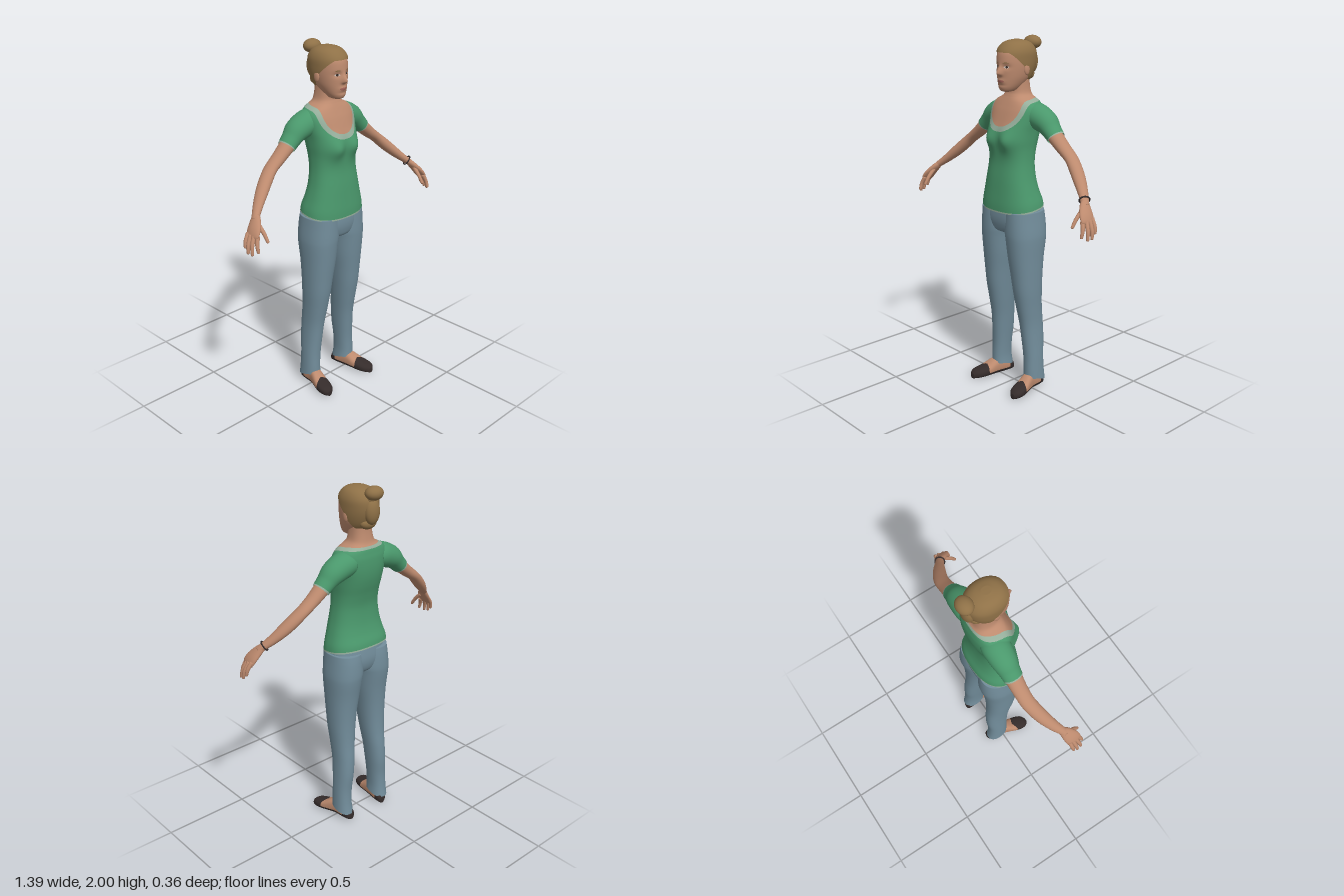
import * as THREE from 'three';

const mat = (name, color) => Object.assign(new THREE.MeshStandardMaterial({ color, side: THREE.DoubleSide }), { name });
const V = (x, y, z) => new THREE.Vector3(x, y, z);
const { clamp, lerp, smoothstep } = THREE.MathUtils;
const gauss = (d, s) => Math.exp(-(d * d) / (s * s));
const power = (c, e) => Math.sign(c) * Math.abs(c) ** e;

// Smoothly resample a table of section rows
function resample(rows, n) {
  return Array.from({ length: n + 1 }, (_, k) => {
    const t = (k / n) * (rows.length - 1), i = Math.min(Math.floor(t), rows.length - 2), u = t - i;
    const [p0, p1, p2, p3] = [i - 1, i, i + 1, i + 2].map(j => rows[clamp(j, 0, rows.length - 1)]);
    return p1.map((b, c) => {
      const m1 = (p2[c] - p0[c]) / 2, m2 = (p3[c] - b) / 2, d = p2[c] - b;
      return b + u * (m1 + u * (3 * d - 2 * m1 - m2 + u * (m1 + m2 - 2 * d)));
    });
  });
}

// Skin a list of rings, optionally closing the ends with a ring shrunk to a point
function loft(rings, capStart = true, capEnd = true) {
  const seg = rings[0].length, index = [];
  const shrink = r => Array(seg).fill(r.reduce((s, p) => s.add(p), V(0, 0, 0)).divideScalar(seg));
  const all = [...(capStart ? [shrink(rings[0])] : []), ...rings, ...(capEnd ? [shrink(rings.at(-1))] : [])];
  for (let i = 0; i < all.length - 1; i++) for (let j = 0; j < seg; j++) {
    const a = i * seg + j, b = i * seg + (j + 1) % seg;
    index.push(a, a + seg, b, b, a + seg, b + seg);
  }
  const g = new THREE.BufferGeometry().setFromPoints(all.flat()).setIndex(index);
  g.computeVertexNormals();
  return g.toNonIndexed();
}

const ring = (seg, f) => Array.from({ length: seg }, (_, j) => {
  const a = (j / seg) * Math.PI * 2;
  return f(Math.cos(a), Math.sin(a));
});

// Upright body: rows are [y, xMin, xMax, zBack, zFront]
function body(rows, n, seg, e, warp = p => p, caps = [true, true]) {
  return loft(resample(rows, n).map(([y, x0, x1, zb, zf]) => ring(seg, (c, s) => warp(V(
    (x0 + x1) / 2 + power(c, e) * (x1 - x0) / 2, y, (zb + zf) / 2 + power(s, e) * (zf - zb) / 2)))), ...caps);
}
const wide = rows => rows.map(([y, w, zb, zf]) => [y, -w, w, zb, zf]);

// Limb along a path: rows are [x, y, z, thickness radius, width radius]
function limb(rows, n, seg, capStart = true, capEnd = true) {
  const r = resample(rows, n), at = i => V(...r[clamp(i, 0, n)]);
  return loft(r.map((q, i) => {
    const T = at(i + 1).sub(at(i - 1)).normalize(), B = V(0, 0, 1);
    B.addScaledVector(T, -B.dot(T)).normalize();
    const A = T.clone().cross(B);
    return ring(seg, (c, s) => at(i).addScaledVector(A, c * q[3]).addScaledVector(B, s * q[4]));
  }), capStart, capEnd);
}

// Split a surface along f(position) = 0; returns [f >= 0, f < 0]
function cut(g, f) {
  const { position: P, normal: N } = g.attributes;
  return [1, -1].map(sign => {
    const pos = [], nor = [];
    for (let t = 0; t < P.count; t += 3) {
      const poly = [], v = [t, t + 1, t + 2].map(k => {
        const p = V().fromBufferAttribute(P, k);
        return { p, n: V().fromBufferAttribute(N, k), d: f(p) * sign };
      });
      v.forEach((a, k) => {
        const b = v[(k + 1) % 3], u = a.d / (a.d - b.d);
        if (a.d >= 0) poly.push(a);
        if (a.d >= 0 !== b.d >= 0) poly.push({ p: a.p.clone().lerp(b.p, u), n: a.n.clone().lerp(b.n, u).normalize() });
      });
      for (let k = 1; k < poly.length - 1; k++) for (const w of [poly[0], poly[k], poly[k + 1]]) {
        pos.push(...w.p);
        nor.push(...w.n);
      }
    }
    return new THREE.BufferGeometry().setAttribute('position', new THREE.Float32BufferAttribute(pos, 3))
      .setAttribute('normal', new THREE.Float32BufferAttribute(nor, 3));
  });
}

// Copy to the other side of the body, keeping faces outward
function mirror(g) {
  const m = g.index ? g.toNonIndexed() : g.clone();
  m.scale(-1, 1, 1);
  for (const a of [m.attributes.position, m.attributes.normal]) for (let t = 0; t < a.count; t += 3) {
    const b = V().fromBufferAttribute(a, t + 1), c = V().fromBufferAttribute(a, t + 2);
    a.setXYZ(t + 1, ...c).setXYZ(t + 2, ...b);
  }
  return m;
}

export function createModel() {
  const model = new THREE.Group();
  model.name = 'woman';
  const skin = mat('skin', 0xbd8a6e), hair = mat('hair', 0x8f7147), shirt = mat('green shirt', 0x4a986c),
    trim = mat('pale trim', 0x95ae9b), denim = mat('denim', 0x728d9b), leather = mat('dark leather', 0x352c2b),
    eyeWhite = mat('eye white', 0xcfc6bf), iris = mat('iris', 0x3a2c26), lip = mat('lips', 0xa5655a);
  const add = (name, g, m) => model.add(Object.assign(new THREE.Mesh(g, m), { name }));
  const pair = (name, g, m) => { add('left ' + name, g, m); add('right ' + name, mirror(g), m); };
  const ball = (x, y, z, a, b, c) => new THREE.SphereGeometry(1, 28, 20).scale(a, b, c).translate(x, y, z);

  // Torso and neck, divided into skin, neck trim, shirt and hem
  const torso = body(wide([
    [1.08, .19, -.12, .138], [1.12, .184, -.114, .137], [1.18, .167, -.096, .131], [1.25, .15, -.083, .124],
    [1.33, .138, -.08, .115], [1.4, .136, -.093, .116], [1.46, .141, -.11, .121], [1.51, .146, -.121, .116],
    [1.56, .155, -.126, .099], [1.61, .16, -.125, .08], [1.64, .152, -.12, .066], [1.662, .13, -.115, .055],
    [1.677, .1, -.108, .047], [1.69, .078, -.1, .04], [1.71, .066, -.094, .032], [1.75, .06, -.088, .03],
    [1.8, .058, -.085, .028]]), 80, 80, .82, p => {
    if (p.z > 0) p.z += .026 * gauss(Math.abs(p.x) - .066, .048) * gauss(p.y - 1.455, .055) * Math.min(1, p.z / .05);
    p.y -= .15 * p.z * clamp((1.22 - p.y) / .14, 0, 1);
    return p;
  }, [false, true]);
  const neckline = p => lerp((1.678 - p.y) / .06,
    Math.hypot(p.x / .108, Math.min(0, p.y - 1.64) / .11) - 1, smoothstep(p.z, -.07, -.01));
  const [clothed, bare] = cut(torso, neckline);
  const [top, collar] = cut(clothed, p => neckline(p) - .24);
  const [shirtBody, hem] = cut(top, p => p.y + .15 * p.z - 1.088);
  add('neck and chest', bare, skin);
  add('neck trim', collar, trim);
  add('shirt body', shirtBody, shirt);
  add('shirt hem', hem, trim);

  // Sleeves, arms and bracelet
  const sleeve = limb([[.09, 1.588, -.045, .064, .07], [.13, 1.588, -.045, .07, .075], [.2, 1.56, -.046, .064, .068],
    [.245, 1.522, -.044, .05, .057], [.282, 1.487, -.042, .044, .052]], 24, 32, true, false);
  const [cuff, sleeveMain] = cut(sleeve, p => (p.x - .282) * .72 - (p.y - 1.487) * .69 + .008);
  pair('sleeve', sleeveMain, shirt);
  pair('sleeve cuff', cuff, trim);
  pair('arm', limb([[.22, 1.542, -.044, .04, .048], [.285, 1.485, -.042, .038, .046], [.34, 1.44, -.04, .033, .042],
    [.4, 1.396, -.035, .029, .04], [.45, 1.35, -.018, .031, .039], [.5, 1.303, .006, .029, .036],
    [.55, 1.257, .035, .023, .029], [.59, 1.222, .063, .018, .023], [.605, 1.205, .074, .017, .025]], 36, 24), skin);
  add('bracelet', new THREE.TorusGeometry(.027, .004, 8, 28).applyQuaternion(new THREE.Quaternion()
    .setFromUnitVectors(V(0, 0, 1), V(.66, -.58, .47).normalize())).translate(.582, 1.229, .057), leather);

  // Hands
  pair('palm', limb([[.59, 1.222, .063, .017, .022], [.61, 1.197, .08, .018, .034], [.635, 1.165, .097, .017, .043],
    [.652, 1.138, .108, .013, .042], [.658, 1.127, .112, .006, .034]], 16, 24), skin);
  [['little finger', [.653, 1.15, .075], [.676, 1.115, .08], [.684, 1.082, .085]],
    ['ring finger', [.655, 1.145, .096], [.68, 1.1, .104], [.687, 1.06, .11]],
    ['middle finger', [.652, 1.14, .116], [.675, 1.098, .128], [.682, 1.056, .136]],
    ['index finger', [.642, 1.142, .134], [.658, 1.104, .147], [.66, 1.068, .158]],
    ['thumb', [.606, 1.19, .093], [.603, 1.15, .135], [.602, 1.11, .163]]].forEach(([name, a, b, c]) =>
    pair(name, limb([[...a, .012, .012], [...b, .0105, .0105], [...c, .008, .008],
      [...c.map((v, i) => v + (v - b[i]) * .1), .003, .003]], 14, 12), skin));

  // Jeans
  pair('trouser leg', body([[.07, .087, .188, -.1, .036], [.12, .09, .186, -.09, .035], [.2, .085, .183, -.088, .035],
    [.3, .075, .178, -.096, .042], [.4, .065, .175, -.094, .052], [.5, .053, .178, -.086, .07],
    [.6, .042, .184, -.084, .088], [.7, .03, .188, -.088, .1], [.8, .015, .192, -.098, .112],
    [.9, .003, .197, -.114, .122], [.95, -.004, .196, -.118, .125], [1.02, -.002, .189, -.115, .125],
    [1.07, 0, .184, -.108, .124]], 60, 36, .9, p => {
    p.y += .3 * Math.min(0, p.z) * clamp((.13 - p.y) / .06, 0, 1);
    return p;
  }, [false, true]), denim);
  add('trouser hips', body(wide([[.925, .03, -.05, .06], [.945, .1, -.085, .105], [.98, .165, -.102, .12],
    [1.03, .182, -.108, .126], [1.1, .172, -.1, .122]]), 20, 48, .85), denim);

  // Feet with slip-on shoes: rows are [z, centre x, half width, height]
  const foot = loft(resample([[-.1, .125, .012, .03], [-.09, .128, .028, .055], [-.05, .132, .036, .08],
    [0, .138, .036, .1], [.04, .147, .04, .09], [.08, .157, .045, .068], [.12, .166, .046, .056],
    [.155, .172, .036, .046], [.175, .175, .014, .03]], 44).map(([z, cx, w, h]) =>
    ring(36, (c, s) => V(cx + w * power(c, .8), h / 2 - h / 2 * power(s, .8), z))));
  const [shoe, instep] = cut(foot, p => Math.max(p.z - .075 - .4 * Math.abs(p.x - .157), .026 - p.y,
    Math.min(-.06 - p.z, .055 - p.y)));
  pair('shoe', shoe, leather);
  pair('foot', instep, skin);
  pair('ankle', body([[.05, .102, .168, -.075, .02], [.17, .105, .17, -.07, .015]], 8, 24, 1), skin);

  // Head with nose, eye sockets and lips shaped in
  const head = body(wide([[1.713, .018, .03, .072], [1.72, .036, -.005, .088], [1.74, .052, -.04, .097],
    [1.77, .067, -.075, .098], [1.8, .077, -.1, .099], [1.84, .084, -.118, .1], [1.88, .086, -.127, .1],
    [1.92, .084, -.125, .092], [1.95, .071, -.105, .07], [1.967, .05, -.078, .045], [1.976, .02, -.04, .008]]),
  90, 96, .94, p => {
    if (p.z > .03) p.z += .028 * gauss(p.x, .014) * gauss(p.y - 1.812, p.y > 1.812 ? .032 : .011)
      - .008 * gauss(Math.abs(p.x) - .034, .02) * gauss(p.y - 1.847, .014)
      + .005 * gauss(p.x, .026) * gauss(p.y - 1.772, .012) - .003 * gauss(p.y - 1.75, .008) * gauss(p.x, .03);
    return p;
  });
  const hairline = p => p.y - Math.min(1.92, 1.845 + .95 * p.z + .6 * Math.min(0, p.z));
  const [cap, face] = cut(head, hairline);
  const { position: hp, normal: hn } = cap.attributes;
  for (let i = 0; i < hp.count; i++) {
    const p = V().fromBufferAttribute(hp, i);
    hp.setXYZ(i, ...p.addScaledVector(V().fromBufferAttribute(hn, i), clamp(hairline(p) * .4, 0, .008)));
  }
  add('hair', cap, hair);
  // Oval areas on the front of the face
  const oval = (x, y, a, b) => p => p.z < .04 ? -1 : 1 - Math.hypot((Math.abs(p.x) - x) / a, (p.y - y) / b);
  const [eyes, face2] = cut(face, oval(.034, 1.846, .0145, .006));
  const [irises, whites] = cut(eyes, oval(.034, 1.846, .0065, .0065));
  const [mouth, face3] = cut(face2, oval(0, 1.771, .024, .0075));
  const [brows, face4] = cut(face3, oval(.035, 1.868, .019, .003));
  add('eye whites', whites, eyeWhite);
  add('irises', irises, iris);
  add('mouth', mouth, lip);
  add('eyebrows', brows, hair);
  add('face', face4, skin);
  pair('ear', ball(.086, 1.832, -.014, .009, .03, .018), skin);

  // Bun and rolled twist at the back of the head
  add('hair bun', ball(0, 1.963, -.136, .052, .037, .044), hair);
  add('bun base', ball(0, 1.93, -.112, .034, .03, .03), hair);
  add('hair twist', ball(0, 1.865, -.122, .045, .07, .034), hair);
  add('nape hair', ball(0, 1.8, -.09, .052, .035, .035), hair);
  return model;
}
